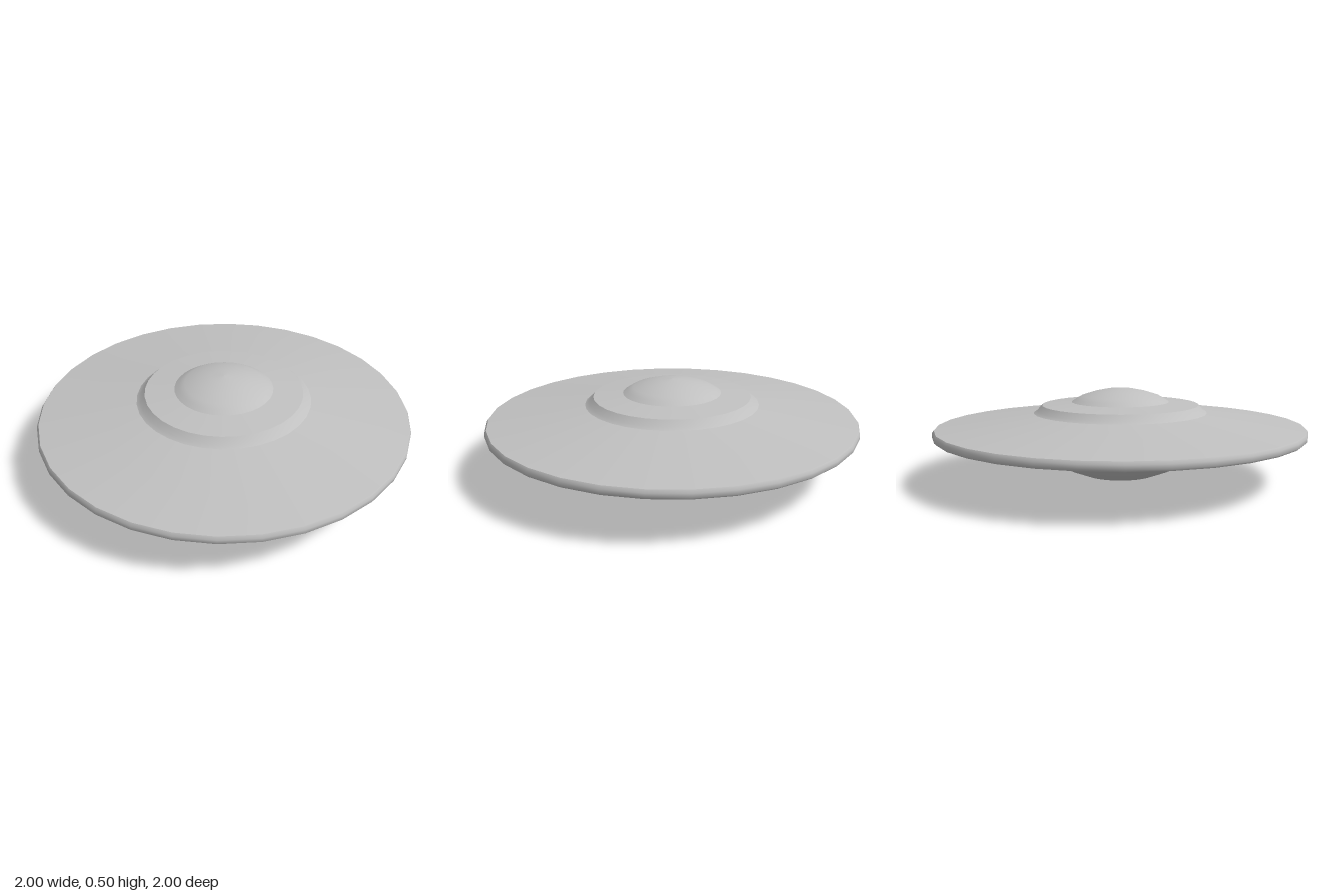
import * as THREE from 'three';

const SEGMENTS = 32;

export function createModel() {
  const group = new THREE.Group();
  group.name = 'flyingSaucer';
  const hullGrey = new THREE.MeshStandardMaterial({ color: 0xc0c0c0 });
  hullGrey.name = 'hull grey';

  // Each profile runs upward as [radius, height]; separate parts keep creases sharp.
  const parts = {
    // rounded underside bowl
    belly: [[0, 0], [0.1, 0.008], [0.2, 0.025], [0.29, 0.06], [0.365, 0.095], [0.425, 0.135], [0.47, 0.175]],
    // wide disc, underside and top
    lowerDisc: [[0.47, 0.175], [0.99, 0.25]],
    rim: [[0.99, 0.25], [1, 0.26], [1, 0.281], [0.99, 0.295]],
    upperDisc: [[0.99, 0.295], [0.47, 0.365]],
    // stepped collar around the dome
    collarSide: [[0.47, 0.365], [0.45, 0.378], [0.425, 0.407]],
    collarTop: [[0.425, 0.407], [0.265, 0.422]],
    // cabin dome
    dome: [[0.265, 0.422], [0.24, 0.438], [0.21, 0.455], [0.14, 0.477], [0.07, 0.491], [0, 0.496]],
  };

  for (const [name, profile] of Object.entries(parts)) {
    const points = profile.map(([r, y]) => new THREE.Vector2(r, y));
    const mesh = new THREE.Mesh(new THREE.LatheGeometry(points, SEGMENTS), hullGrey);
    mesh.name = name;
    group.add(mesh);
  }
  return group;
}
